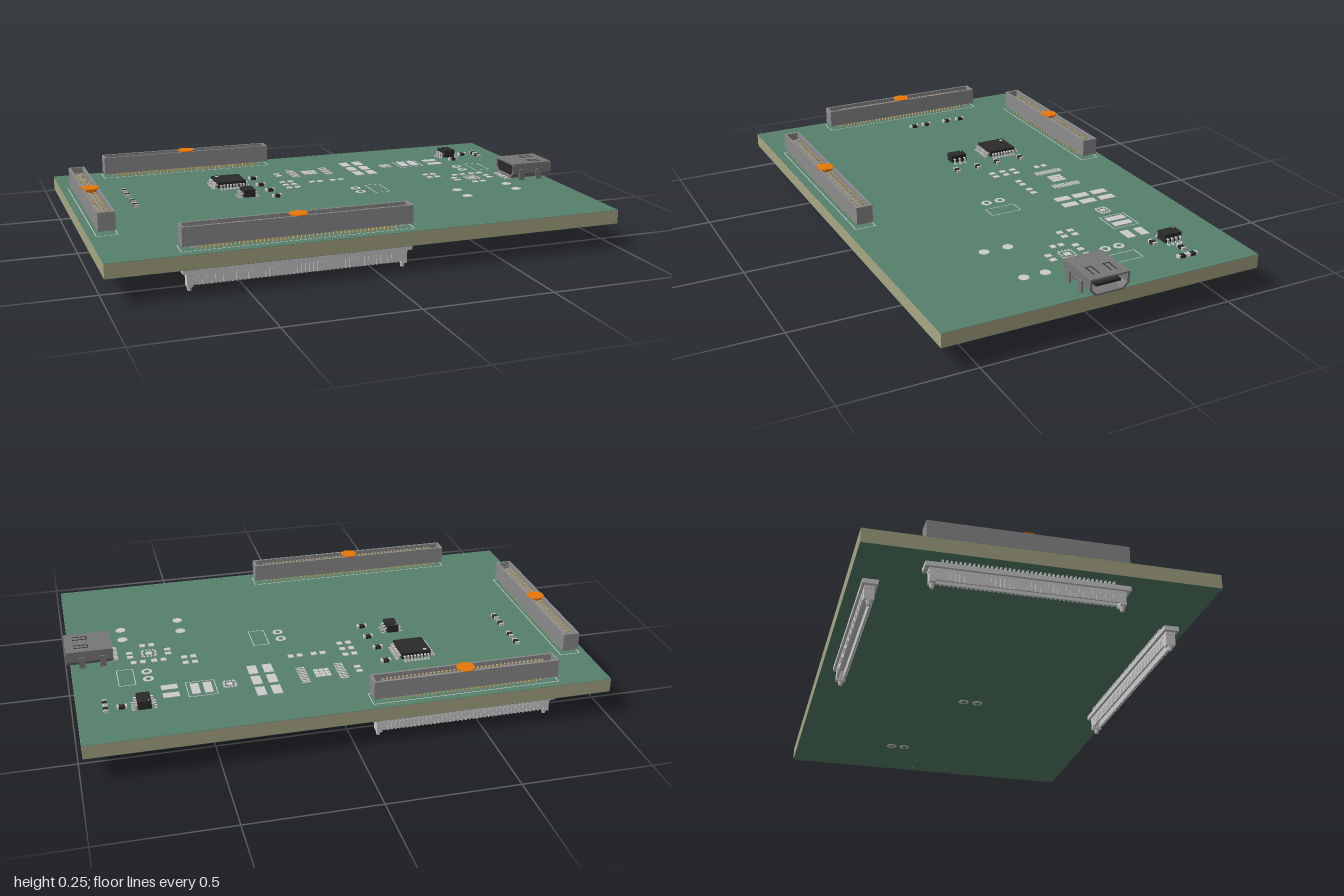
import * as THREE from 'three';
import { mergeGeometries } from 'three/addons/utils/BufferGeometryUtils.js';

const TOP = 0.155, BOTTOM = 0.1; // board faces
const mat = (color) => new THREE.MeshStandardMaterial({ color, flatShading: true });
const GREY = mat(0xcccccc), HOUSING = mat(0x8c8c8c), SHELL = mat(0x777777), BLACK = mat(0x2a2a2a);
const GOLD = mat(0xbfae78), ORANGE = mat(0xe8780a), MASK = mat(0x56806c), EDGE = mat(0xa6a684);

// box from size and centre
const box = (w, h, d, x, y, z) => new THREE.BoxGeometry(w, h, d).translate(x, y, z);
// box standing from y0 to y1
const slab = (w, d, x, z, y0, y1) => box(w, y1 - y0, d, x, (y0 + y1) / 2, z);

function add(group, name, material, geos) {
  const parts = geos.map((g) => (g.index ? g.toNonIndexed() : g));
  const mesh = new THREE.Mesh(mergeGeometries(parts), material);
  mesh.name = name;
  group.add(mesh);
}

// thin rectangular line frame lying on the board
function frame(w, d, x, z) {
  const t = 0.003, a = TOP, b = TOP + 0.001;
  return [-1, 1].flatMap((s) => [
    slab(w, t, x, z + (s * d) / 2, a, b), slab(t, d, x + (s * w) / 2, z, a, b)]);
}

// extrude an x-y outline (optionally with a hole) along z, centred
function prism(points, length, hole) {
  const shape = new THREE.Shape(points.map(([x, y]) => new THREE.Vector2(x, y)));
  if (hole) shape.holes.push(new THREE.Path(hole.map(([x, y]) => new THREE.Vector2(x, y))));
  return new THREE.ExtrudeGeometry(shape, { depth: length, bevelEnabled: false }).translate(0, 0, -length / 2);
}

// board-to-board socket above and its plug below, running along local x
function connectorPair(name, length, pins) {
  const g = new THREE.Group();
  g.name = name;
  const pitch = (length - 0.12) / (pins - 1);
  const xs = Array.from({ length: pins }, (_, i) => (i - (pins - 1) / 2) * pitch);
  const sides = [-1, 1];

  // socket: floor, two long walls, end blocks with a recessed pocket, low centre tongue
  const socket = [slab(length, 0.064, 0, 0, 0.172, 0.188), slab(length - 0.1, 0.012, 0, 0, 0.188, 0.226)];
  for (const s of sides) {
    socket.push(slab(length, 0.008, 0, s * 0.028, 0.188, 0.242));
    socket.push(slab(0.008, 0.05, s * (length / 2 - 0.004), 0, 0.188, 0.242));
    socket.push(slab(0.008, 0.05, s * (length / 2 - 0.046), 0, 0.188, 0.225));
    for (const e of sides) socket.push(slab(0.02, 0.014, s * (length / 2 - 0.04), e * 0.018, 0.17, 0.165));
  }
  add(g, 'socketHousing', HOUSING, socket);
  add(g, 'socketPocket', GREY, sides.map((s) => slab(0.034, 0.044, s * (length / 2 - 0.025), 0, 0.188, 0.21)));

  // contacts inside the socket and solder legs down to the board
  add(g, 'socketContacts', GOLD, sides.flatMap((s) => xs.flatMap((x) => [
    slab(0.006, 0.009, x, s * 0.0125, 0.188, 0.23), slab(0.006, 0.012, x, s * 0.016, TOP, 0.173)])));

  // pick-up cap clipped into the middle
  const cap = new THREE.CylinderGeometry(0.036, 0.036, 0.004, 8).rotateY(Math.PI / 8).translate(0, 0.243, 0);
  add(g, 'pickupCap', ORANGE, [cap, slab(0.03, 0.042, 0, 0, 0.226, 0.242)]);

  // plug: flange, two ribbed walls with a slot between, end posts and pegs
  const plug = [slab(length, 0.056, 0, 0, 0.07, 0.087), slab(length - 0.03, 0.036, 0, 0, 0.058, 0.07)];
  for (const s of sides) {
    plug.push(slab(length - 0.04, 0.007, 0, s * 0.0135, 0.026, 0.06));
    plug.push(slab(0.022, 0.036, s * (length / 2 - 0.028), 0, 0.018, 0.06));
    plug.push(new THREE.CylinderGeometry(0.012, 0.007, 0.024, 8).translate(s * (length / 2 - 0.028), 0.012, 0));
    for (const x of xs) plug.push(slab(0.006, 0.003, x, s * 0.0175, 0.024, 0.06));
  }
  add(g, 'plugHousing', GREY, plug);
  add(g, 'plugLegs', GREY, sides.flatMap((s) => xs.map((x) => slab(0.006, 0.014, x, s * 0.018, 0.085, BOTTOM))));
  add(g, 'connectorOutline', GREY, frame(length + 0.006, 0.078, 0, 0));
  return g;
}

// black chip with bent leads; counts are leads along the x sides and the z sides
function chip(name, w, d, y0, y1, perX, perZ, pitch, x, z) {
  const g = new THREE.Group();
  g.name = name;
  g.position.set(x, 0, z);
  const leads = [], mid = (y0 + y1) / 2;
  const lead = (turn, off, half) => {
    for (const geo of [slab(0.012, 0.007, half + 0.004, off, mid - 0.003, mid + 0.002),
      slab(0.005, 0.007, half + 0.009, off, TOP, mid + 0.002),
      slab(0.014, 0.007, half + 0.014, off, TOP, TOP + 0.004)]) leads.push(geo.rotateY(turn));
  };
  for (const flip of [0, Math.PI]) {
    for (let i = 0; i < perX; i++) lead(flip, (i - (perX - 1) / 2) * pitch, w / 2);
    for (let i = 0; i < perZ; i++) lead(flip + Math.PI / 2, (i - (perZ - 1) / 2) * pitch, d / 2);
  }
  add(g, 'chipBody', BLACK, [slab(w, d, 0, 0, y0, y1)]);
  add(g, 'chipLeads', GREY, leads);
  add(g, 'pinOneDot', GREY, [new THREE.CylinderGeometry(w * 0.06, w * 0.06, 0.001, 12)
    .translate(-w * 0.33, y1 + 0.0005, -d * 0.36)]);
  return g;
}

// metal port at the board edge, opening towards +x
function edgePort() {
  const g = new THREE.Group();
  g.name = 'edgePort';
  g.position.set(0.91, 0, 0.01);
  const outline = (w, top, bot, cut) => [[-w + cut, bot], [w - cut, bot], [w, bot + cut], [w, top], [-w, top], [-w, bot + cut]];
  const shell = prism(outline(0.078, 0.225, 0.16, 0.022), 0.18, outline(0.07, 0.218, 0.167, 0.019)).rotateY(Math.PI / 2);
  const parts = [shell];
  for (const s of [-1, 1]) {
    for (const x of [-0.05, 0.03]) parts.push(slab(0.024, 0.006, x, s * 0.08, BOTTOM - 0.003, 0.2));
  }
  add(g, 'portShell', SHELL, parts);
  // rear block, tongue and spring fingers
  add(g, 'portInsert', BLACK, [slab(0.07, 0.138, -0.05, 0, 0.172, 0.217), slab(0.14, 0.1, 0.01, 0, 0.19, 0.2)]);
  add(g, 'springFingers', BLACK, [-1, 1].flatMap((s) => [
    slab(0.055, 0.004, 0.03, s * 0.046, 0.2245, 0.2258), slab(0.055, 0.004, 0.03, s * 0.024, 0.2245, 0.2258),
    slab(0.004, 0.026, 0.004, s * 0.035, 0.2245, 0.2258)]));
  add(g, 'portLeads', GREY, Array.from({ length: 10 }, (_, i) => slab(0.03, 0.006, -0.095, (i - 4.5) * 0.011, TOP, 0.162)));
  return g;
}

export function createModel() {
  const model = new THREE.Group();
  model.name = 'circuitBoard';

  // board core with a coating on both faces
  const bx = -0.0075, bw = 1.985, bd = 1.264;
  add(model, 'boardCore', EDGE, [slab(bw, bd, bx, 0, BOTTOM + 0.001, TOP - 0.001)]);
  add(model, 'topCoating', MASK, [slab(bw, bd, bx, 0, TOP - 0.001, TOP)]);
  add(model, 'bottomCoating', MASK, [slab(bw, bd, bx, 0, BOTTOM, BOTTOM + 0.001)]);

  // three connector pairs around the edges
  for (const [name, length, pins, x, z, turn] of [
    ['frontConnector', 0.864, 50, -0.29, 0.557, 0],
    ['backConnector', 0.72, 40, -0.436, -0.563, 0],
    ['sideConnector', 0.72, 40, -0.932, -0.048, Math.PI / 2]]) {
    const c = connectorPair(name, length, pins);
    c.position.set(x, 0, z);
    c.rotation.y = turn;
    model.add(c);
  }

  // chips
  model.add(chip('mainChip', 0.118, 0.118, 0.16, 0.184, 8, 8, 0.0137, -0.332, -0.243));
  model.add(chip('smallChipLeft', 0.046, 0.068, 0.16, 0.19, 3, 0, 0.023, -0.307, -0.04));
  model.add(chip('smallChipRight', 0.05, 0.072, 0.16, 0.192, 4, 0, 0.018, 0.743, -0.41));
  model.add(edgePort());

  // small two-ended components: x, z
  const bodies = [], caps = [];
  for (const [x, z, upright] of [[-0.21, -0.297], [-0.21, -0.183], [-0.198, -0.087], [-0.198, 0.008],
    [0.823, -0.409], [0.743, -0.338], [0.882, -0.414, 1], [0.882, -0.37, 1],
    [-0.762, -0.27, 1], [-0.762, -0.205, 1], [-0.762, -0.1, 1], [-0.762, -0.04, 1]]) {
    const place = (geo) => geo.rotateY(upright ? Math.PI / 2 : 0).translate(x, 0, z);
    bodies.push(place(slab(0.022, 0.018, 0, 0, TOP, TOP + 0.011)));
    for (const s of [-1, 1]) caps.push(place(slab(0.008, 0.019, s * 0.015, 0, TOP, TOP + 0.012)));
  }
  add(model, 'smallComponents', BLACK, bodies);
  add(model, 'componentEnds', GREY, caps);

  // bare solder pads
  const pads = [];
  const pad = (x, z, w, d) => pads.push(slab(w, d, x, z, TOP, TOP + 0.003));
  const pair = (x, z, w, d, dx, dz) => [-1, 1].forEach((s) => pad(x + s * dx, z + s * dz, w, d));
  for (let i = 0; i < 10; i++) pair(0.053, -0.36 + i * 0.0125 - 0.025, 0.034, 0.006, 0.075, 0);
  for (let i = 0; i < 9; i++) pad(0.053 + ((i % 3) - 1) * 0.021, -0.327 + (Math.floor(i / 3) - 1) * 0.021, 0.018, 0.018);
  for (const z of [-0.41, -0.325, -0.243]) pair(0.278, z, 0.036, 0.064, 0.03, 0);
  pair(0.519, -0.334, 0.032, 0.078, 0.024, 0);
  pair(0.636, -0.329, 0.062, 0.034, 0, 0.03);
  for (const [x, z] of [[-0.09, -0.205], [-0.09, -0.158], [-0.09, -0.11], [0.03, -0.17], [0.123, -0.17],
    [0.53, -0.123], [0.53, -0.077], [0.647, -0.077], [0.727, -0.077], [0.679, 0.056]]) pair(x, z, 0.022, 0.024, 0.018, 0);
  for (const [x, z] of [[-0.09, -0.329], [0.604, -0.013], [0.754, -0.013]]) pair(x, z, 0.024, 0.02, 0, 0.017);
  // small grid footprints with a pad ring
  for (const [x, z, r] of [[0.412, -0.329, 0.022], [0.679, -0.013, 0.026]]) {
    pad(x, z, r * 0.95, r * 0.95);
    for (let i = -1.5; i <= 1.5; i++) {
      pair(x, z + i * r * 0.5, 0.01, 0.006, r, 0);
      pad(x + i * r * 0.5, z + r, 0.006, 0.01);
      pad(x + i * r * 0.5, z - r, 0.006, 0.01);
    }
  }
  add(model, 'solderPads', GREY, pads);

  // plated holes and round test points
  const rings = [], holes = [];
  const disc = (r, h, x, z, y) => new THREE.CylinderGeometry(r, r, h, 16).translate(x, y, z);
  for (const [x, z] of [[0.147, -0.013], [0.147, 0.046], [0.704, -0.216], [0.704, -0.158]]) {
    for (const y of [TOP + 0.001, BOTTOM - 0.001]) {
      rings.push(disc(0.021, 0.002, x, z, y));
      holes.push(disc(0.01, 0.003, x, z, y));
    }
  }
  for (const [x, z] of [[0.53, 0.152], [0.53, 0.249], [0.768, 0.128], [0.768, 0.214]]) rings.push(disc(0.02, 0.002, x, z, TOP + 0.001));
  add(model, 'roundPads', GREY, rings);
  add(model, 'holes', MASK, holes);

  // printed outlines of unfitted parts
  add(model, 'printedOutlines', GREY, [...frame(0.062, 0.123, 0.232, 0.016), ...frame(0.062, 0.123, 0.786, -0.187),
    ...frame(0.108, 0.108, 0.519, -0.334)]);
  return model;
}
